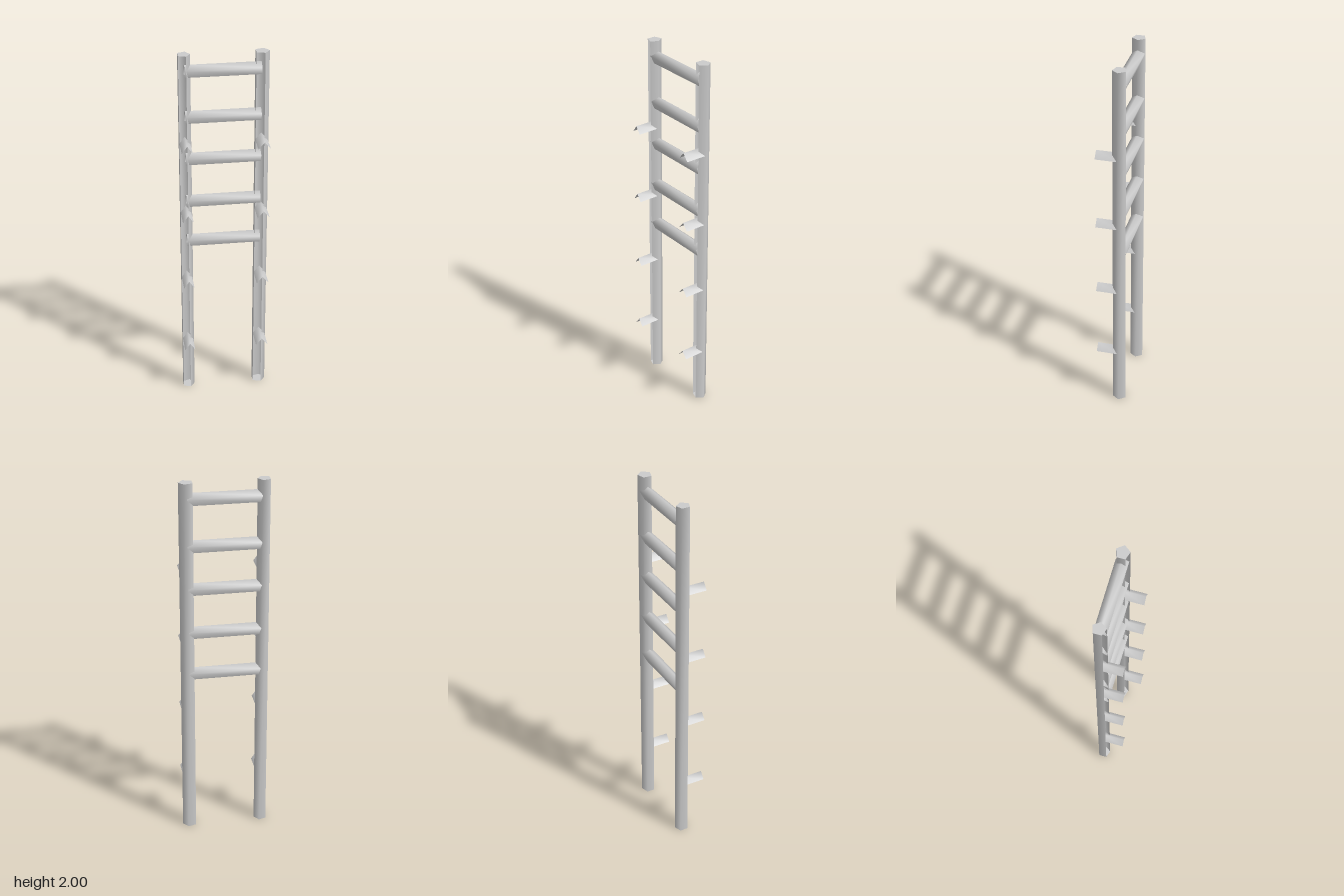
import * as THREE from 'three';

const material = new THREE.MeshStandardMaterial({ color: 0xcccccc, side: THREE.DoubleSide });
const STEP = (Math.PI * 2) / 5;
const POST_Z = -0.044;

// Smooth open sheet: a row of points swept along one offset
function sweep(name, points, offset) {
  const positions = [], index = [];
  for (const [x, y, z] of points) {
    positions.push(x, y, z, x + offset[0], y + offset[1], z + offset[2]);
  }
  for (let i = 0; i < points.length - 1; i++) {
    const a = i * 2;
    index.push(a, a + 2, a + 3, a, a + 3, a + 1);
  }
  const geometry = new THREE.BufferGeometry();
  geometry.setAttribute('position', new THREE.Float32BufferAttribute(positions, 3));
  geometry.setIndex(index);
  geometry.computeVertexNormals();
  const mesh = new THREE.Mesh(geometry, material);
  mesh.name = name;
  return mesh;
}

// Five-sided post, open on one front face, with flat ends
function createPost(name, x, rx, rz) {
  const post = new THREE.Group();
  post.name = name;
  const ring = [1, 0, -1, -2, -3].map((k) => [
    x + rx * Math.cos(k * STEP), 0, POST_Z + rz * Math.sin(k * STEP)]);
  post.add(sweep(name + 'Side', ring, [0, 2, 0]));
  for (const [end, y, turn] of [['Bottom', 0, 1], ['Top', 2, -1]]) {
    const geometry = new THREE.CircleGeometry(1, 5);
    geometry.rotateX((turn * Math.PI) / 2);
    geometry.scale(rx, 1, rz);
    // The upper end is turned over, so line its corners up with the side
    if (turn < 0) geometry.scale(1, 1, 1);
    const cap = new THREE.Mesh(geometry, material);
    cap.name = name + end;
    cap.position.set(x, y, POST_Z);
    post.add(cap);
  }
  return post;
}

export function createModel() {
  const ladder = new THREE.Group();
  ladder.name = 'ladder';

  // Uprights
  ladder.add(createPost('rightPost', -0.207, 0.035, 0.037));
  ladder.add(createPost('leftPost', 0.192, 0.039, 0.037));

  // Rungs: ridge on top, open underneath
  const r = 0.0345;
  for (const y of [0.94, 1.177, 1.422, 1.657, 1.909]) {
    const profile = [-2, -1, 0, 1, 2].map((k) => [
      -0.203, y + r * Math.cos(k * STEP), POST_Z + r * Math.sin(k * STEP)]);
    ladder.add(sweep('rung', profile, [0.393, 0, 0]));
  }

  // Roof-shaped pegs on the front of each post
  for (const y of [0.31, 0.71, 1.11, 1.51]) {
    for (const [name, x0, x1] of [['rightPeg', -0.234, -0.178], ['leftPeg', 0.161, 0.225]]) {
      const profile = [[x1, y, POST_Z], [(x0 + x1) / 2, y + 0.038, POST_Z], [x0, y, POST_Z]];
      ladder.add(sweep(name, profile, [0, 0, 0.122]));
    }
  }
  return ladder;
}
